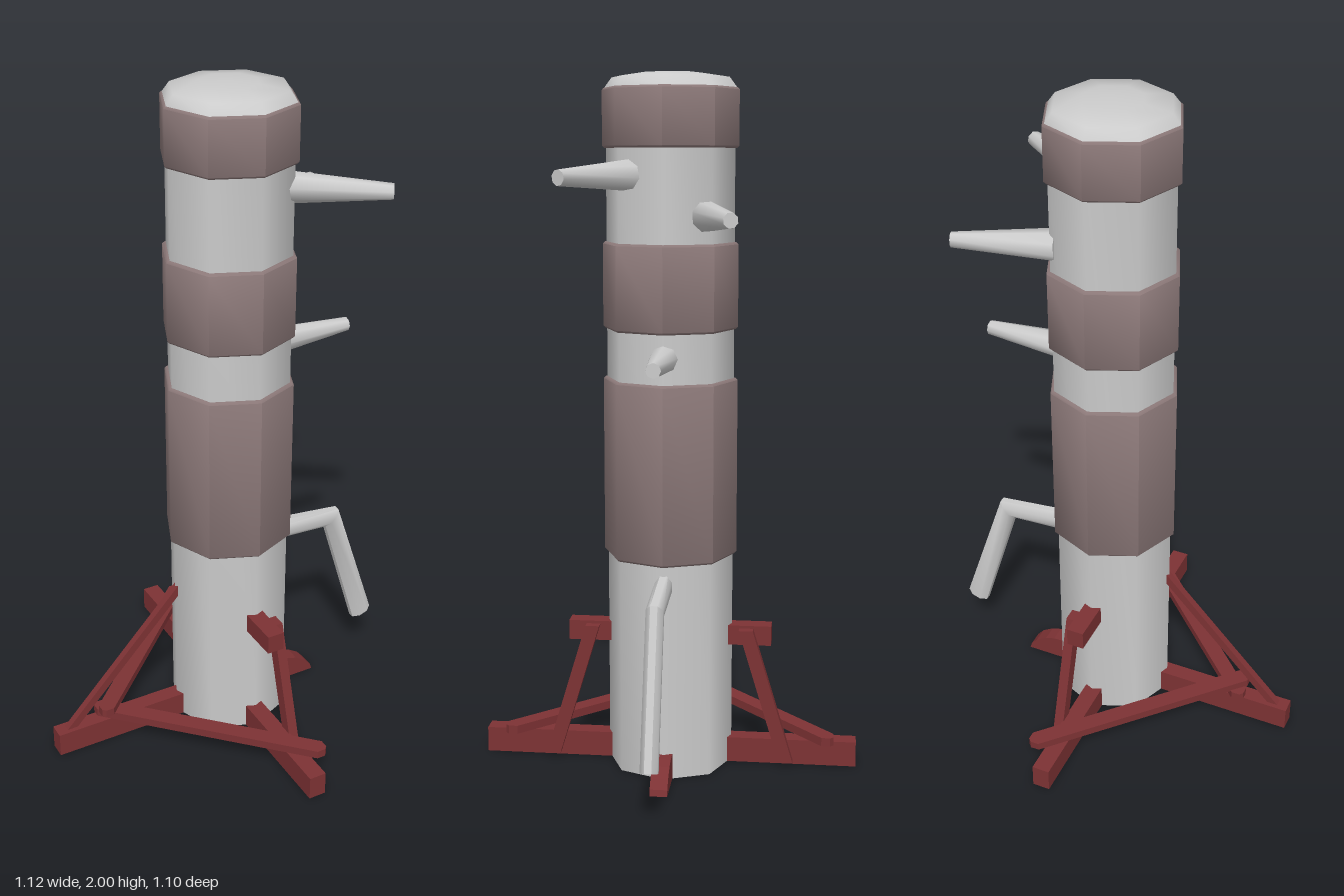
import * as THREE from 'three';
import { toCreasedNormals } from 'three/addons/utils/BufferGeometryUtils.js';

const grey = new THREE.MeshStandardMaterial({ color: 0xcccccc });
const padding = new THREE.MeshStandardMaterial({ color: 0x8b7878 });
const redWood = new THREE.MeshStandardMaterial({ color: 0x7d3234 });
const CX = 0.028; // post axis

export function createModel() {
  const group = new THREE.Group();
  const V = (x, y, z) => new THREE.Vector3(x, y, z);

  function add(name, geometry, material) {
    const mesh = new THREE.Mesh(geometry, material);
    mesh.name = name;
    group.add(mesh);
    return mesh;
  }
  // Box given by its limits on each axis
  function box(name, x0, x1, y0, y1, z0, z1) {
    const mesh = add(name, new THREE.BoxGeometry(x1 - x0, y1 - y0, z1 - z0), redWood);
    mesh.position.set((x0 + x1) / 2, (y0 + y1) / 2, (z0 + z1) / 2);
    return mesh;
  }
  // Eight-sided turned part around the post axis
  function turned(name, profile, material) {
    const points = profile.map(([r, y]) => new THREE.Vector2(r, y));
    const mesh = add(name, toCreasedNormals(new THREE.LatheGeometry(points, 8), 0.87), material);
    mesh.position.x = CX;
  }
  // Outline in the plane of its first two axes, extruded to a centred depth
  function slab(points, depth) {
    const shape = new THREE.Shape(points.map(([a, b]) => new THREE.Vector2(a, b)));
    return new THREE.ExtrudeGeometry(shape, { depth, bevelEnabled: false }).translate(0, 0, -depth / 2);
  }

  // Post, padded bands and domed cap
  turned('post', [[0, 0], [0.182, 0], [0.182, 1.95]], grey);
  for (const [y0, y1] of [[0.63, 1.145], [1.285, 1.53], [1.79, 1.955]]) {
    turned('paddedBand', [[0.178, y0], [0.187, y0], [0.193, y0 + 0.006],
      [0.193, y1 - 0.006], [0.187, y1], [0.178, y1]], padding);
  }
  turned('cap', [[0.188, 1.952], [0.165, 1.983], [0.085, 1.995], [0, 2]], grey);

  // Tapered arms
  function peg(name, from, to, r0, r1) {
    const dir = to.clone().sub(from);
    const geometry = new THREE.CylinderGeometry(r1, r0, dir.length(), 8);
    const mesh = add(name, toCreasedNormals(geometry, 0.87), grey);
    mesh.position.copy(from).lerp(to, 0.5);
    mesh.quaternion.setFromUnitVectors(V(0, 1, 0), dir.normalize());
  }
  peg('upperLeftArm', V(0.155, 1.717, 0.1), V(0.39, 1.712, 0.252), 0.044, 0.022);
  peg('upperRightArm', V(0.15, 1.605, -0.11), V(0.415, 1.605, -0.199), 0.044, 0.021);
  peg('middleArm', V(0.15, 1.217, 0), V(0.425, 1.217, 0), 0.043, 0.021);

  // Bent leg: eight-sided rings joined from hip to mitred knee to foot
  const rings = [ // upper edge, lower edge
    [[0.15, 0.609], [0.15, 0.541]],
    [[0.42, 0.581], [0.375, 0.53]],
    [[0.56, 0.164], [0.495, 0.141]],
  ];
  const pos = [], index = [];
  for (const [a, b] of rings) {
    for (let i = 0; i < 8; i++) {
      const t = (i + 0.5) * Math.PI / 4, k = 0.5 - 0.5 * Math.cos(t) / Math.cos(Math.PI / 8);
      pos.push(a[0] + (b[0] - a[0]) * k, a[1] + (b[1] - a[1]) * k, 0.026 * Math.sin(t));
    }
  }
  for (let r = 0; r < 2; r++) {
    for (let i = 0; i < 8; i++) {
      const a = r * 8 + i, b = r * 8 + (i + 1) % 8;
      index.push(a, b, a + 8, b, b + 8, a + 8);
    }
  }
  for (let i = 1; i < 7; i++) index.push(0, i + 1, i, 16, 16 + i, 17 + i);
  const leg = new THREE.BufferGeometry();
  leg.setAttribute('position', new THREE.Float32BufferAttribute(pos, 3));
  leg.setIndex(index);
  const legMesh = add('bentLeg', toCreasedNormals(leg, 0.87), grey);
  legMesh.material = grey.clone();
  legMesh.material.side = THREE.DoubleSide;

  // Crossed feet, the long one with a rounded toe
  add('longFoot', slab([[-0.565, 0], [0.33, 0], [0.325, 0.018], [0.305, 0.042],
    [0.27, 0.064], [0.24, 0.073], [0.2, 0.075], [-0.565, 0.075]], 0.05), redWood);
  box('crossFoot', 0, 0.053, 0, 0.074, -0.55, 0.55);

  // Rear strut leaning on the post
  const strut = box('rearStrut', -0.012, 0.012, -0.29, 0.29, -0.011, 0.011);
  strut.position.set(-0.325, 0.275, 0);
  strut.rotation.z = -Math.atan2(0.4, 0.42);

  // Horizontal diagonal braces with chamfered ends; one rides over the other at the back
  const L = 0.365, W = 0.025, C = 0.018;
  const outline = [[-L, -W + C], [-L + C, -W], [L - C, -W], [L, -W + C],
    [L, W - C], [L - C, W], [-L + C, W], [-L, W - C]];
  for (const side of [1, -1]) {
    const holder = new THREE.Group();
    holder.name = side > 0 ? 'leftDiagonal' : 'rightDiagonal';
    holder.position.set(-0.162, side > 0 ? 0.088 : 0.101, side * 0.222);
    holder.rotation.y = -side * Math.PI / 4;
    const bar = new THREE.Mesh(slab(outline, 0.025).rotateX(-Math.PI / 2), redWood);
    bar.name = 'diagonalBar';
    bar.rotation.z = side > 0 ? 0 : -0.03;
    holder.add(bar);
    group.add(holder);

    // Side block and slanted brace
    const z = [side * 0.15, side * 0.298].sort((a, b) => a - b);
    box('sideBlock', 0, 0.052, 0.36, 0.418, z[0], z[1]);
    const lean = [[0.325, 0.012], [0.366, 0.012], [0.246, 0.41], [0.205, 0.41]]
      .map(([a, y]) => [-side * a, y]);
    const brace = add('slantedBrace', slab(lean, 0.03).rotateY(Math.PI / 2), redWood);
    brace.position.x = 0.064;
  }
  return group;
}
